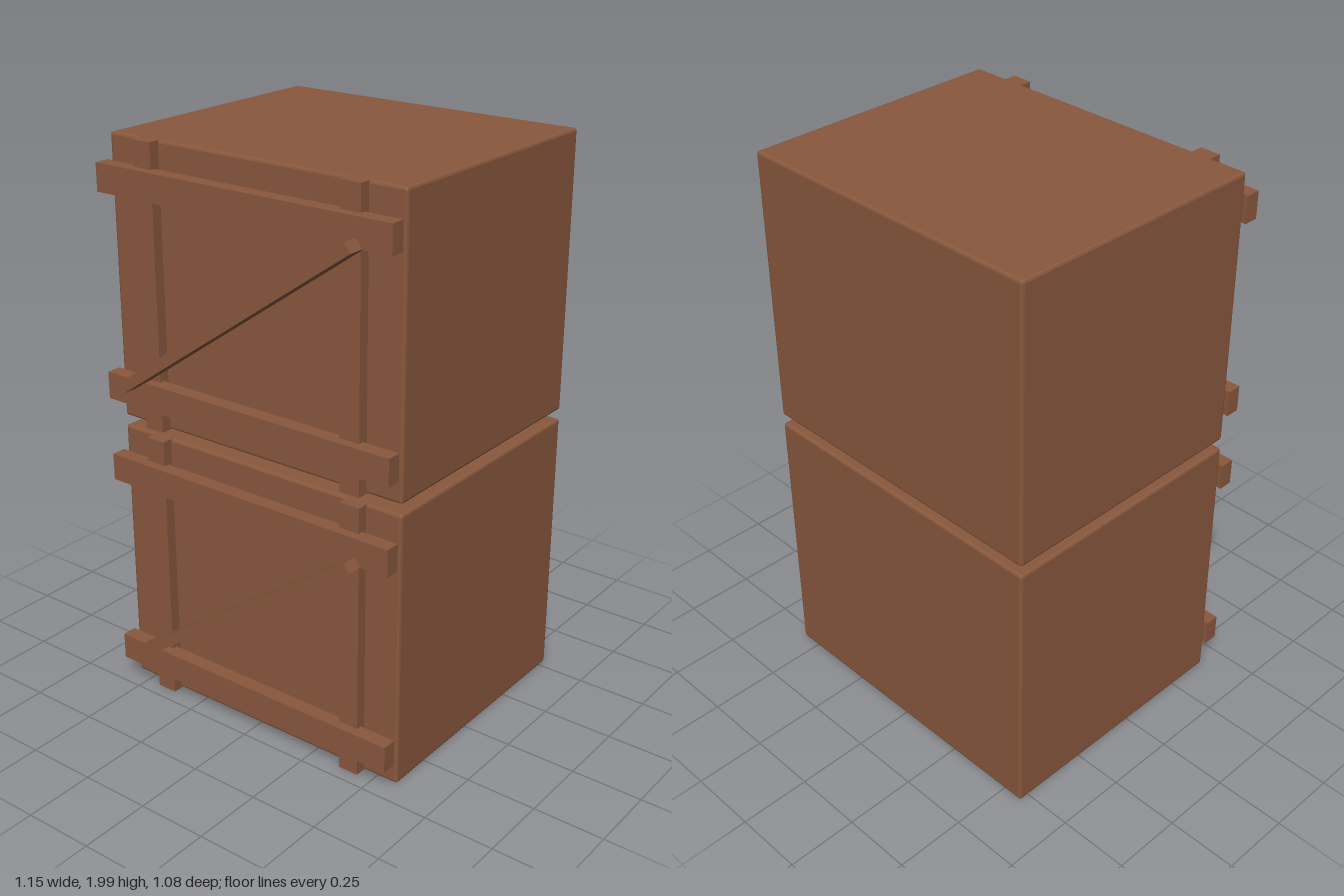
import * as THREE from 'three';
import { RoundedBoxGeometry } from 'three/addons/geometries/RoundedBoxGeometry.js';

export function createModel() {
  const model = new THREE.Group();
  model.name = 'stackedCrates';
  const wood = new THREE.MeshStandardMaterial({ color: 0x89583d });
  wood.name = 'brown wood';

  const W = 1.155, H = 0.978;

  function add(parent, name, geometry, x, y, z) {
    const mesh = new THREE.Mesh(geometry, wood);
    mesh.name = name;
    mesh.position.set(x, y, z);
    parent.add(mesh);
    return mesh;
  }

  // One crate, centred on its own height
  function crate(name, y) {
    const group = new THREE.Group();
    group.name = name;
    group.position.y = y;

    // Body with narrow bevelled edges
    const body = new RoundedBoxGeometry(W, H, 0.95, 1, 0.009);
    body.computeVertexNormals();
    add(group, 'crateBody', body, 0, 0, -0.063);

    // Upright battens, then cross planks over them
    for (const side of [-1, 1]) {
      add(group, side < 0 ? 'rightBatten' : 'leftBatten',
        new THREE.BoxGeometry(0.075, H, 0.05), side * 0.407, 0, 0.425);
    }
    add(group, 'upperPlank', new THREE.BoxGeometry(W, 0.095, 0.052), 0, 0.355, 0.457);
    add(group, 'lowerPlank', new THREE.BoxGeometry(W, 0.095, 0.052), 0, -0.357, 0.457);

    // Diagonal brace
    const brace = add(group, 'diagonalBrace',
      new THREE.BoxGeometry(1.13, 0.037, 0.074), 0, 0, 0.501);
    brace.rotation.z = THREE.MathUtils.degToRad(35);

    model.add(group);
  }

  crate('lowerCrate', 0.497);
  crate('upperCrate', 1.511);
  return model;
}
